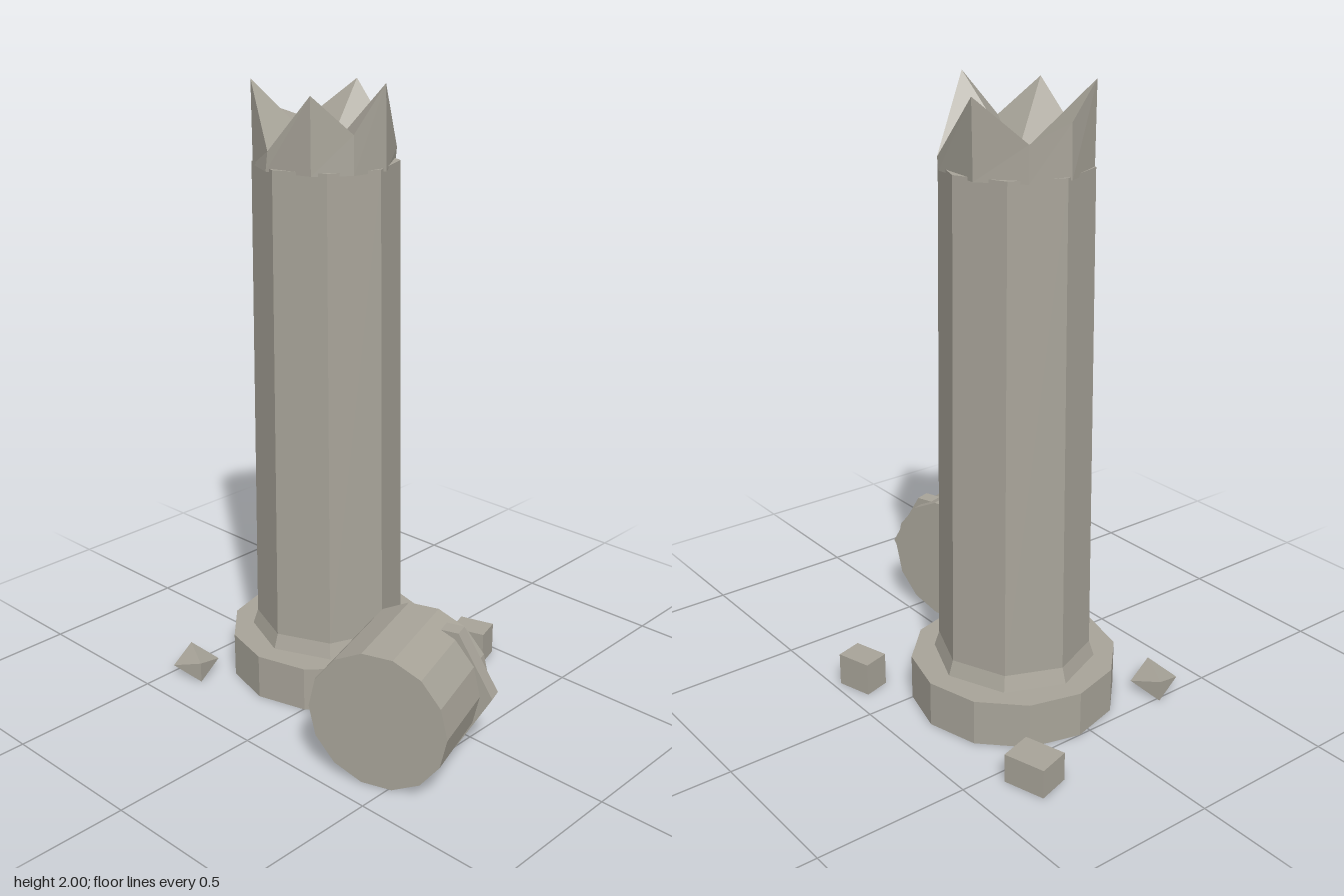
import * as THREE from 'three';

const stone = new THREE.MeshStandardMaterial({ color: 0xa8a499 });
stone.name = 'weathered stone';

// Mesh with faceted normals
function part(name, geometry, x = 0, y = 0, z = 0, turn = 0) {
  const g = geometry.index ? geometry.toNonIndexed() : geometry;
  g.computeVertexNormals();
  const mesh = new THREE.Mesh(g, stone);
  mesh.name = name;
  mesh.position.set(x, y, z);
  mesh.rotation.y = turn;
  return mesh;
}

// Jagged broken top: [angle in degrees, radius, height] of each rim point
function brokenTop() {
  const rim = [
    [33, 0.225, 1.975], [66, 0.223, 1.86], [98, 0.222, 2.0],
    [150, 0.23, 1.78], [199, 0.232, 1.975], [240, 0.224, 1.85],
    [275, 0.221, 1.9], [317, 0.227, 2.0], [351, 0.218, 1.8],
  ];
  const at = (deg, r, y) => {
    const a = THREE.MathUtils.degToRad(deg);
    return [r * Math.sin(a), y, r * Math.cos(a)];
  };
  const p = [];
  const centre = [0, 1.77, 0];
  rim.forEach(([a, r, h], i) => {
    const [b, s, k] = rim[(i + 1) % rim.length];
    const low = at(a, 0.226, 1.74), nextLow = at(b, 0.226, 1.74);
    const top = at(a, r, h), nextTop = at(b, s, k);
    p.push(...low, ...nextLow, ...nextTop, ...low, ...nextTop, ...top);
    p.push(...centre, ...top, ...nextTop);
  });
  const g = new THREE.BufferGeometry();
  g.setAttribute('position', new THREE.Float32BufferAttribute(p, 3));
  return g;
}

export function createModel() {
  const model = new THREE.Group();
  model.name = 'ruinedColumn';

  // Standing column: round plinth, flared foot, tapering shaft, broken top
  const column = new THREE.Group();
  column.name = 'standingColumn';
  column.position.set(-0.165, 0, -0.042);
  column.add(
    part('plinth', new THREE.CylinderGeometry(0.335, 0.335, 0.15, 12), 0, 0.075, 0),
    part('foot', new THREE.CylinderGeometry(0.246, 0.262, 0.05, 8), 0, 0.175, 0),
    part('shaft', new THREE.CylinderGeometry(0.23, 0.246, 1.55, 8), 0, 0.975, 0),
    part('brokenTop', brokenTop()),
  );
  model.add(column);

  // Fallen drum lying on its side, with a chipped collar near the back
  const drum = new THREE.Group();
  drum.name = 'fallenDrum';
  drum.position.set(0.41, 0.222, 0.235);
  drum.rotation.y = 0.315;
  const lying = (r, length, sides) =>
    new THREE.CylinderGeometry(r, r, length, sides, 1, false, Math.PI / 2).rotateX(Math.PI / 2);
  drum.add(
    part('drumBody', lying(0.225, 0.352, 14)),
    part('drumCollar', lying(0.23, 0.05, 6), 0.035, 0, -0.115),
  );
  model.add(drum);

  // Rubble: [x, z, width, height, depth]
  const blocks = [
    [-0.595, -0.305, 0.14, 0.095, 0.112],
    [0.17, -0.415, 0.12, 0.11, 0.09],
  ];
  blocks.forEach(([x, z, w, h, d]) =>
    model.add(part('rubbleBlock', new THREE.BoxGeometry(w, h, d), x, h / 2, z, 0.285)));

  // Faceted shard in front
  const shard = new THREE.OctahedronGeometry(0.078).rotateZ(Math.PI / 4).scale(1.41, 0.63, 1);
  model.add(part('rubbleShard', shard, -0.445, 0.035, 0.328, -0.5));

  return model;
}
